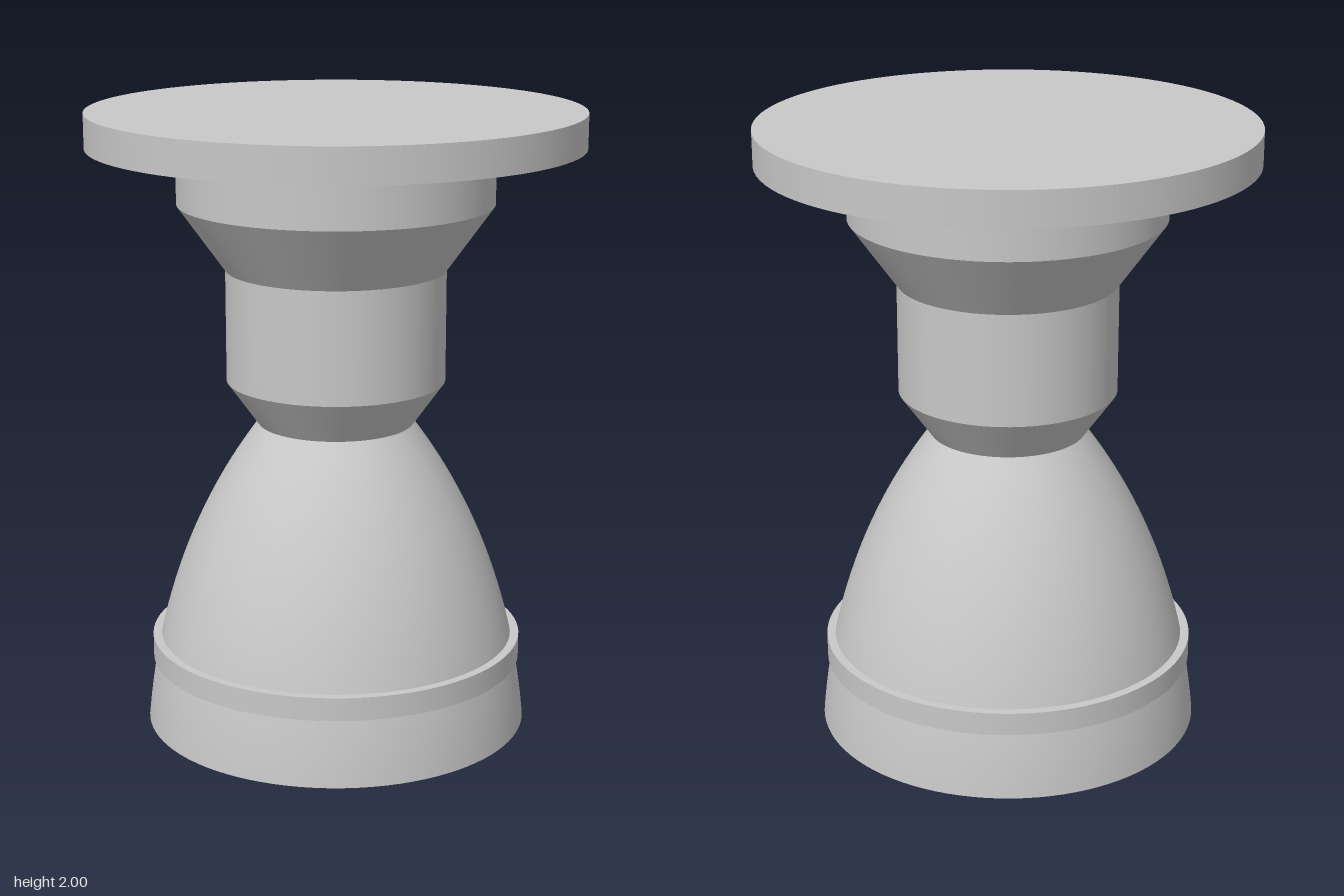
import * as THREE from 'three';

const SIDES = 96;

export function createModel() {
  const model = new THREE.Group();
  const metal = new THREE.MeshStandardMaterial({ color: 0xc8c8c8 });
  metal.name = 'lightGrey';

  function add(name, geometry) {
    const mesh = new THREE.Mesh(geometry, metal);
    mesh.name = name;
    model.add(mesh);
  }

  // Solid turned sections: name, bottom y, top y, bottom radius, top radius
  const sections = [
    ['mountingPlate', 1.89, 2.0, 0.78, 0.78],
    ['upperCollar', 1.71, 1.89, 0.5, 0.5],
    ['upperTaper', 1.5, 1.71, 0.35, 0.5],
    ['chamber', 1.14, 1.5, 0.35, 0.35],
    ['throatTaper', 1.0, 1.14, 0.25, 0.35],
  ];
  for (const [name, y0, y1, r0, r1] of sections) {
    const geometry = new THREE.CylinderGeometry(r1, r0, y1 - y0, SIDES);
    geometry.translate(0, (y0 + y1) / 2, 0);
    add(name, geometry);
  }

  // Hollow bell: outer skin runs upward, inner skin runs back down
  const wall = 0.025;
  const bell = (offset) => new THREE.QuadraticBezierCurve(
    new THREE.Vector2(0.62 - offset, 0),
    new THREE.Vector2(0.565 - offset, 0.58),
    new THREE.Vector2(0.25 - offset, 1),
  ).getPoints(32);
  add('bellOuter', new THREE.LatheGeometry(bell(0), SIDES));
  add('bellInner', new THREE.LatheGeometry(bell(wall).reverse(), SIDES));

  // Flat lip closing the wall at the open end
  const lip = new THREE.RingGeometry(0.62 - wall, 0.62, SIDES);
  lip.rotateX(Math.PI / 2);
  add('bellLip', lip);

  // Reinforcing band: outer wall and flat top and bottom edges
  const band = new THREE.CylinderGeometry(0.602, 0.602, 0.075, SIDES, 1, true);
  band.translate(0, 0.2525, 0);
  add('bandWall', band);
  for (const [name, y, turn] of [['bandTop', 0.29, -1], ['bandBottom', 0.215, 1]]) {
    const edge = new THREE.RingGeometry(0.57, 0.602, SIDES);
    edge.rotateX(turn * Math.PI / 2);
    edge.translate(0, y, 0);
    add(name, edge);
  }
  return model;
}
